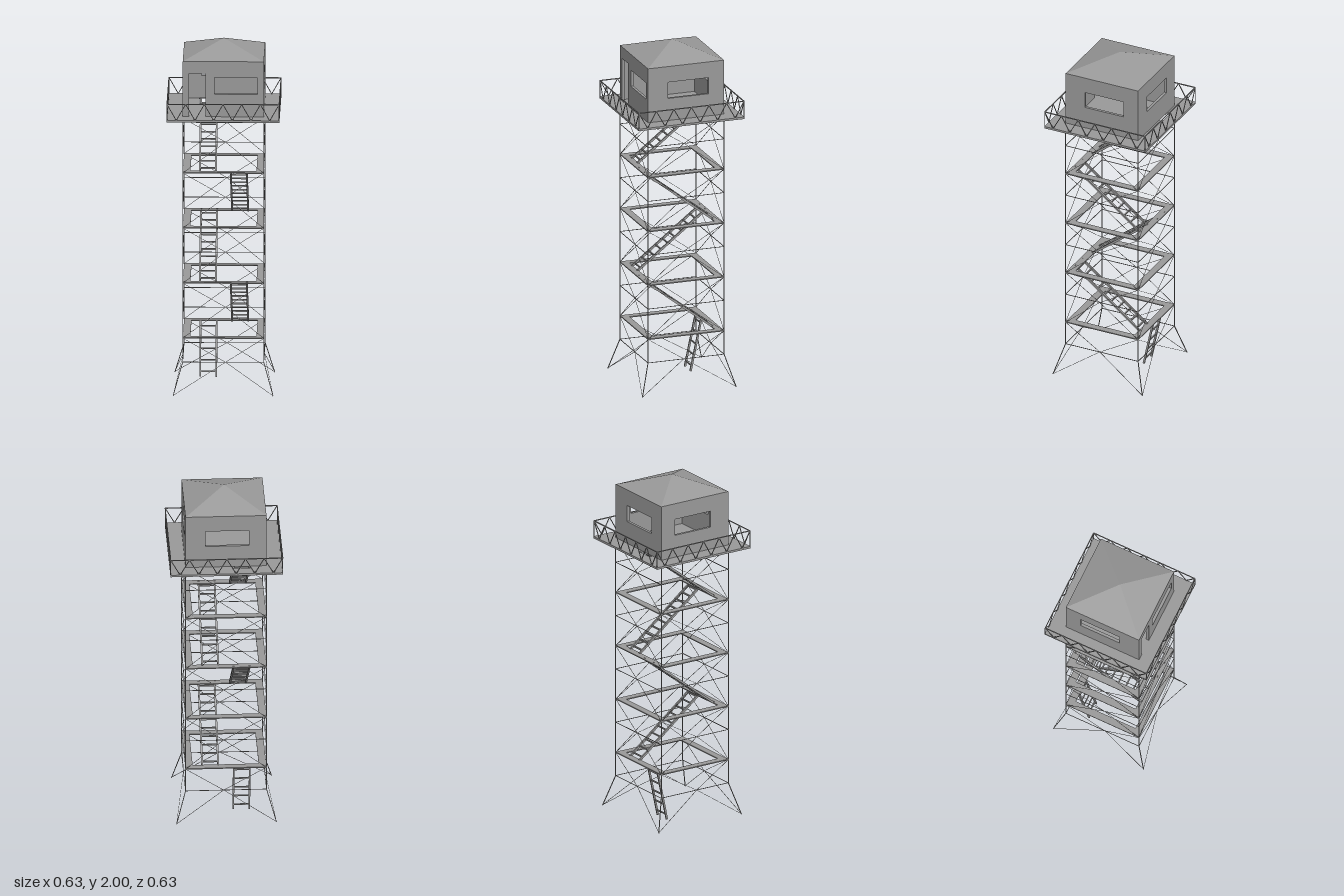
import * as THREE from 'three';

const material = new THREE.MeshStandardMaterial({ color: 0x999999, flatShading: true });
const UP = new THREE.Vector3(0, 1, 0);

const HALF = 0.227;                       // half width of the tower and cabin
const FOOT = 0.28;                        // half spread of the feet
const DECK = 0.316;                       // half width of the deck
const DECK_Y = 1.592;
const STEP = 0.3175;                      // height of one tower stage
const landings = [0, 1, 2, 3].map(i => 0.322 + i * STEP);

function add(parent, name, geometry, x = 0, y = 0, z = 0) {
  const mesh = new THREE.Mesh(geometry, material);
  mesh.name = name;
  mesh.position.set(x, y, z);
  parent.add(mesh);
  return mesh;
}

function group(parent, name) {
  const g = new THREE.Group();
  g.name = name;
  parent.add(g);
  return g;
}

// Rectangular bar between two points
function bar(parent, name, a, b, width, depth = width) {
  const from = new THREE.Vector3(...a), to = new THREE.Vector3(...b);
  const dir = to.clone().sub(from);
  const mesh = add(parent, name, new THREE.BoxGeometry(width, dir.length(), depth));
  mesh.position.copy(from).add(to).multiplyScalar(0.5);
  mesh.quaternion.setFromUnitVectors(UP, dir.normalize());
}

// Flat shape with rectangular holes; rectangles are [x0, y0, x1, y1]
function panel(outer, holes, depth) {
  const corners = ([a, b, c, d]) => [[a, b], [c, b], [c, d], [a, d]].map(p => new THREE.Vector2(...p));
  const shape = new THREE.Shape(corners(outer));
  holes.forEach(h => shape.holes.push(new THREE.Path(corners(h).reverse())));
  return new THREE.ExtrudeGeometry(shape, { depth, bevelEnabled: false });
}

// Two stringers with evenly spaced rungs, leaning in the z direction
function ladder(parent, name, x, [y0, z0], [y1, z1], rungs, size) {
  const g = group(parent, name);
  const half = 0.045;
  for (const s of [-1, 1]) {
    bar(g, 'stringer', [x + s * half, y0, z0], [x + s * half, y1, z1], size, size * 1.2);
  }
  for (let i = 0; i < rungs; i++) {
    const t = (i + 0.5) / rungs;
    const y = y0 + (y1 - y0) * t, z = z0 + (z1 - z0) * t;
    bar(g, 'rung', [x - half, y, z], [x + half, y, z], size * 0.75);
  }
}

function createTower(root) {
  const tower = group(root, 'tower');
  // Legs with splayed feet
  for (const sx of [-1, 1]) for (const sz of [-1, 1]) {
    bar(tower, 'leg', [sx * HALF, 0.184, sz * HALF], [sx * HALF, DECK_Y, sz * HALF], 0.004);
    bar(tower, 'foot', [sx * FOOT, 0.002, sz * FOOT], [sx * HALF, 0.184, sz * HALF], 0.004);
  }
  // Each face carries a middle rail and braces meeting slightly off centre
  for (let side = 0; side < 4; side++) {
    const face = group(tower, 'braceFace');
    face.rotation.y = side * Math.PI / 2;
    const meet = side % 3 === 0 ? 0.013 : -0.013;
    for (let i = 0; i < 5; i++) {
      const mid = 0.184 + i * STEP, top = 0.322 + i * STEP;
      const low = i ? top - STEP : 0.004, spread = i ? HALF : FOOT;
      bar(face, 'middleRail', [-HALF, mid, HALF], [HALF, mid, HALF], 0.003);
      for (const s of [-1, 1]) {
        bar(face, 'lowerBrace', [s * spread, low, spread], [meet, mid, HALF], 0.002);
        bar(face, 'upperBrace', [meet, mid, HALF], [s * HALF, top, HALF], 0.002);
      }
    }
  }
  // Open square landings
  const inner = HALF - 0.042;
  for (const y of landings) {
    const ring = panel([-HALF, -HALF, HALF, HALF], [[-inner, -inner, inner, inner]], 0.006);
    add(tower, 'landing', ring.rotateX(-Math.PI / 2), 0, y - 0.003, 0);
  }
}

// The flights alternate sides, so the last one ends at the hatch in the deck
function createLadders(root) {
  const ladders = group(root, 'ladders');
  ladder(ladders, 'groundLadder', -0.09, [0.012, -0.127], [0.322, -0.193], 5, 0.009);
  for (let i = 0; i < 4; i++) {
    const forward = i % 2 === 0 ? 1 : -1;
    ladder(ladders, 'ladder', forward * 0.087,
      [landings[i], -forward * 0.192], [landings[i] + STEP, forward * 0.217], 10, 0.01);
  }
}

function createDeck(root) {
  const deck = group(root, 'gallery');
  const hatch = [-0.14, 0.08, -0.035, 0.248];
  add(deck, 'deck', panel([-DECK, -DECK, DECK, DECK], [hatch], 0.012).rotateX(-Math.PI / 2),
    0, DECK_Y - 0.004, 0);
  // Railing with zigzag infill on all sides
  const edge = DECK - 0.002, low = 1.599, high = 1.692, count = 6, pitch = 2 * edge / count;
  for (let side = 0; side < 4; side++) {
    const rail = group(deck, 'railing');
    rail.rotation.y = side * Math.PI / 2;
    bar(rail, 'handrail', [-edge, high, edge], [edge, high, edge], 0.005);
    bar(rail, 'cornerPost', [edge, low, edge], [edge, high, edge], 0.004);
    for (let i = 0; i < count; i++) {
      const x = -edge + i * pitch;
      bar(rail, 'infill', [x, high, edge], [x + pitch / 2, low, edge], 0.004);
      bar(rail, 'infill', [x + pitch / 2, low, edge], [x + pitch, high, edge], 0.004);
    }
  }
}

function createCabin(root) {
  const cabin = group(root, 'cabin');
  const base = 1.598, top = 1.918, sill = 1.73, head = 1.825, wall = 0.016;
  const outer = [-HALF, base, HALF, top];
  // Front wall with doorway and window
  add(cabin, 'frontWall', panel(outer, [[-0.193, base + 0.004, -0.1, 1.85], [-0.05, sill, 0.192, head]], wall),
    0, 0, HALF - wall);
  add(cabin, 'backWall', panel(outer, [[-0.13, sill, 0.115, head]], wall), 0, 0, -HALF);
  // Side walls fit between front and back
  for (const s of [-1, 1]) {
    const span = HALF - wall;
    const side = panel([-span, base, span, top], [[-0.107, sill, 0.135, head]], wall);
    add(cabin, 'sideWall', side.rotateY(Math.PI / 2), s > 0 ? HALF - wall : -HALF, 0, 0);
  }
  // Hipped roof flush with the walls
  const roof = new THREE.ConeGeometry(HALF * Math.SQRT2, 2 - top, 4).rotateY(Math.PI / 4);
  add(cabin, 'roof', roof, 0, (2 + top) / 2, 0);
}

export function createModel() {
  const model = new THREE.Group();
  model.name = 'watchtower';
  createTower(model);
  createLadders(model);
  createDeck(model);
  createCabin(model);
  return model;
}
